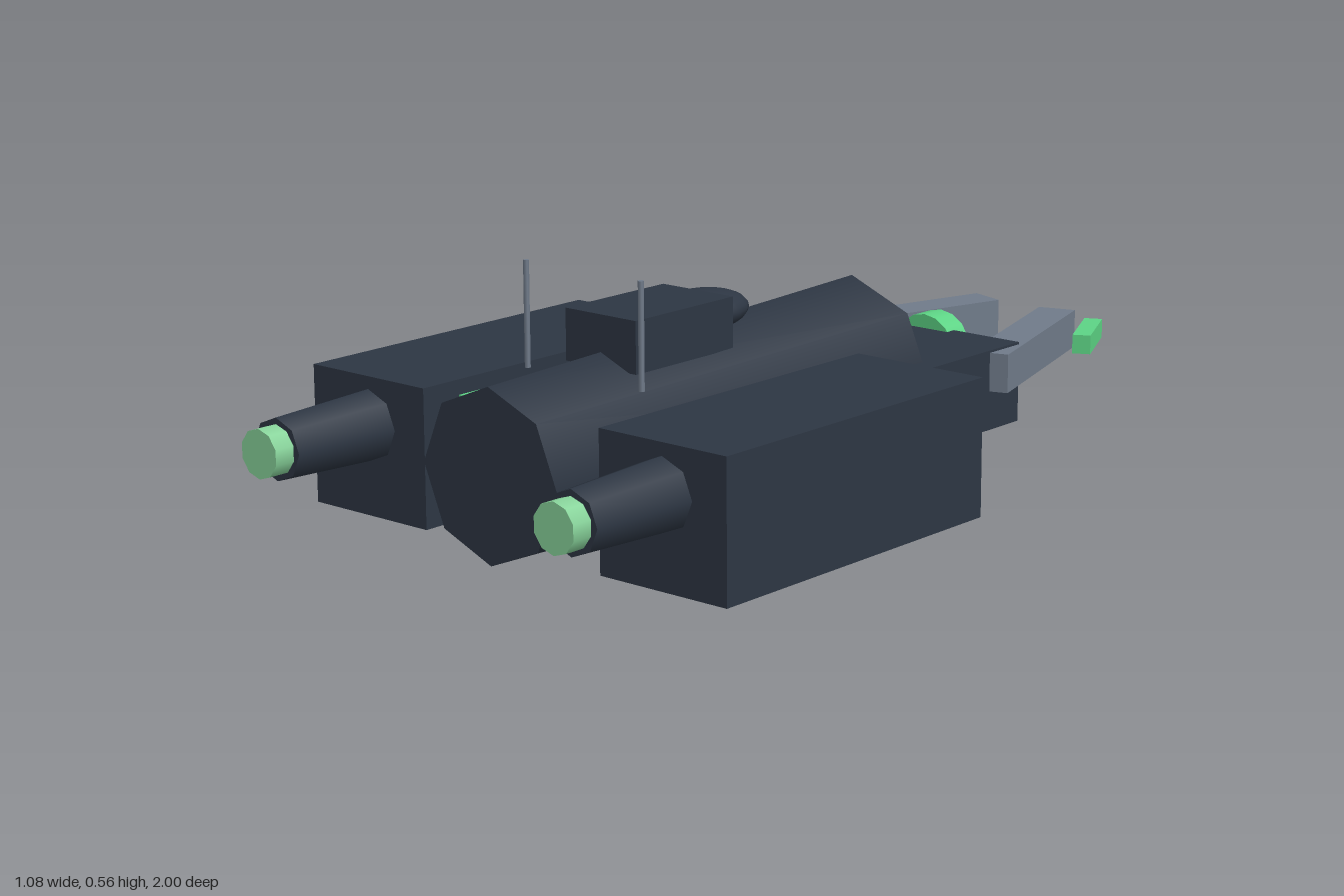
import * as THREE from 'three';

export function createModel() {
  const model = new THREE.Group();
  model.name = 'spacecraft';

  const paint = (name, color) => {
    const m = new THREE.MeshStandardMaterial({ color });
    m.name = name;
    return m;
  };
  const hull = paint('dark slate hull', 0x2d3643);
  const metal = paint('grey metal', 0x707b8a);
  const glow = paint('green glow', 0x5dd485);
  const paleGlow = paint('pale green glow', 0x88d49b);

  const add = (name, geometry, material, x, y, z, yaw = 0) => {
    const mesh = new THREE.Mesh(geometry, material);
    mesh.name = name;
    mesh.position.set(x, y, z);
    mesh.rotation.y = yaw;
    model.add(mesh);
    return mesh;
  };
  const box = (w, h, d) => new THREE.BoxGeometry(w, h, d);
  // Cylinder lying along z, with its own front and back radius
  const tube = (front, back, length, sides) =>
    new THREE.CylinderGeometry(front, back, length, sides).rotateX(Math.PI / 2);

  // Tapered eight-sided fuselage and the tail block
  add('fuselage', tube(0.175, 0.21, 1.09, 8), hull, 0, 0.215, 0.225);
  add('tailBlock', box(0.47, 0.174, 0.45), hull, 0, 0.178, -0.375);
  add('tailThruster', tube(0.08, 0.08, 0.06, 16), glow, 0, 0.216, -0.605);

  // Cabin on top with a rounded rear dome
  add('cabin', box(0.184, 0.106, 0.286), hull, 0, 0.422, 0.317);
  const dome = add('cabinDome', new THREE.SphereGeometry(1, 20, 14), hull, 0, 0.433, 0.172);
  dome.scale.set(0.08, 0.042, 0.125);

  for (const [side, s] of [['left', 1], ['right', -1]]) {
    // Side pod with a cannon
    add(side + 'Pod', box(0.31, 0.284, 0.768), hull, s * 0.385, 0.197, 0.331);
    add(side + 'Barrel', tube(0.063, 0.073, 0.24, 8), hull, s * 0.385, 0.24, 0.835);
    add(side + 'Muzzle', tube(0.05, 0.05, 0.06, 10), paleGlow, s * 0.385, 0.24, 0.97);

    // Light strip and antenna
    add(side + 'LightStrip', box(0.03, 0.028, 0.62), glow, s * 0.192, 0.302, 0.332);
    add(side + 'Antenna', new THREE.CylinderGeometry(0.006, 0.006, 0.215, 6), metal,
      s * 0.15, 0.4625, 0.508);

    // Rear pincer arm and its glowing tip
    add(side + 'Arm', box(0.084, 0.084, 0.465), metal, s * 0.165, 0.218, -0.717, s * 0.3);
    add(side + 'ArmTip', box(0.04, 0.042, 0.17), glow, s * 0.196, 0.216, -0.915, s * 0.45);
  }

  return model;
}
